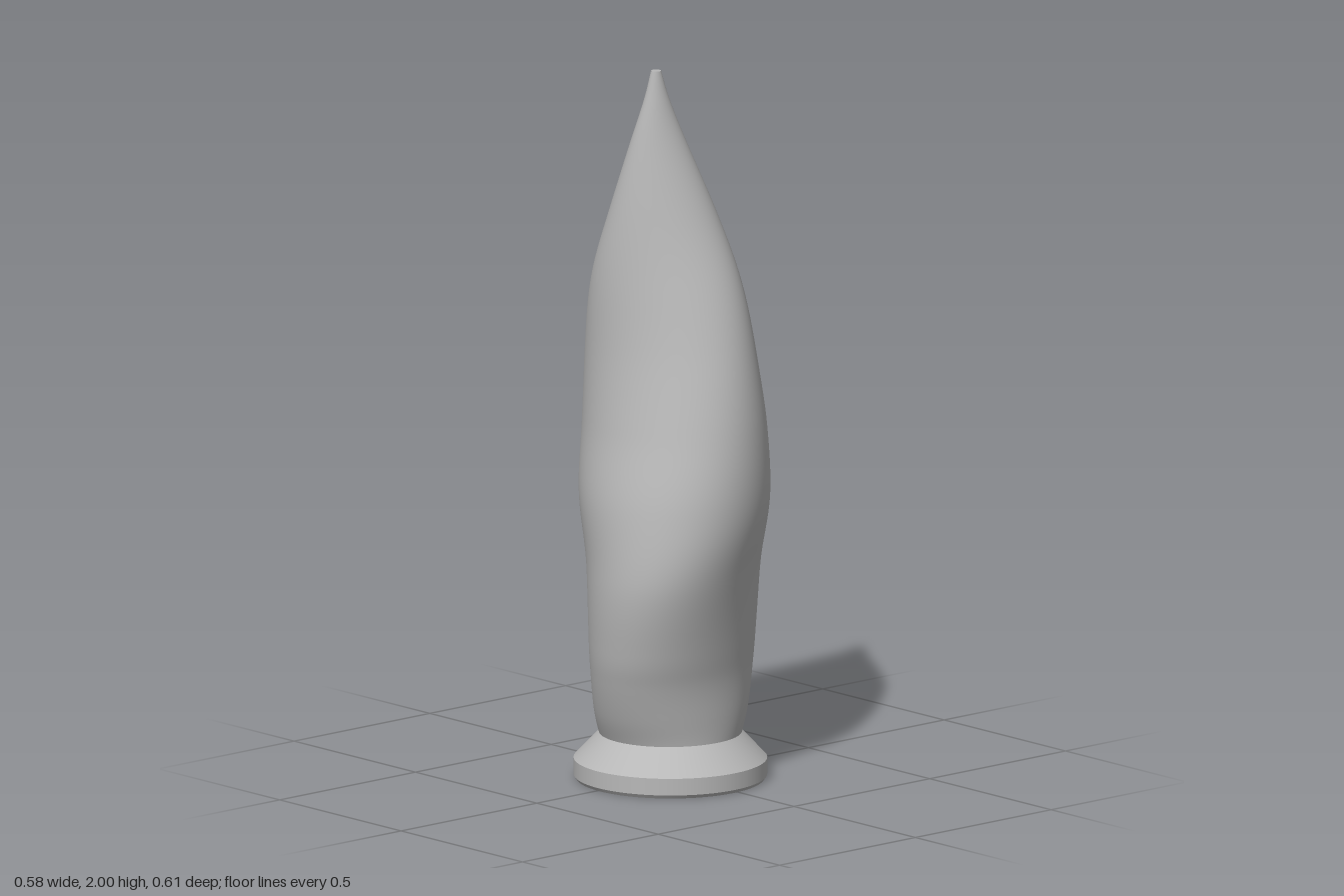
import * as THREE from 'three';

const BASE_X = -0.017, BASE_Z = 0.01;

// Skin joining closed rings of points, facing outward when rings run upward
function loft(rings) {
  const n = rings[0].length, pos = [], idx = [];
  rings.forEach(r => r.forEach(p => pos.push(p.x, p.y, p.z)));
  for (let j = 0; j < rings.length - 1; j++) {
    for (let i = 0; i < n; i++) {
      const a = j * n + i, b = j * n + (i + 1) % n;
      idx.push(a, a + n, b, b, a + n, b + n);
    }
  }
  const g = new THREE.BufferGeometry();
  g.setAttribute('position', new THREE.Float32BufferAttribute(pos, 3));
  g.setIndex(idx);
  g.computeVertexNormals();
  return g;
}

export function createModel() {
  const group = new THREE.Group();
  const grey = new THREE.MeshStandardMaterial({ color: 0xb8b8b8 });
  grey.name = 'plainGrey';
  const add = (name, geometry, parent = group) => {
    const m = new THREE.Mesh(geometry, grey);
    m.name = name;
    parent.add(m);
    return m;
  };

  // Twisted flame body: height, long radius, short radius, turn in degrees, centre x, centre z
  const keys = [
    [0.13, 0.197, 0.196, 0, -0.017, 0.01],
    [0.2, 0.226, 0.201, -8, -0.015, 0.01],
    [0.3, 0.258, 0.206, -16, -0.013, 0.01],
    [0.4, 0.286, 0.217, -25, -0.01, 0.009],
    [0.6, 0.324, 0.237, -40, -0.003, 0.007],
    [0.8, 0.321, 0.261, -58, 0.005, 0.002],
    [1.0, 0.295, 0.238, -79, 0.01, -0.003],
    [1.2, 0.26, 0.198, -98, 0, -0.007],
    [1.4, 0.214, 0.156, -117, -0.017, -0.006],
    [1.6, 0.147, 0.108, -136, -0.035, -0.002],
    [1.8, 0.077, 0.056, -152, -0.055, 0.002],
    [1.92, 0.036, 0.028, -163, -0.064, 0.006],
    [2.0, 0.0145, 0.0125, -170, -0.068, 0.008],
  ];
  const curve = cols => new THREE.CatmullRomCurve3(
    keys.map(k => new THREE.Vector3(...cols.map(c => k[c]))), false, 'catmullrom', 0.5);
  const sizes = curve([0, 1, 2]), places = curve([3, 4, 5]);
  const STEPS = 120, SIDES = 96, rings = [];
  for (let j = 0; j <= STEPS; j++) {
    const { x: y, y: a, z: b } = sizes.getPoint(j / STEPS);
    const { x: deg, y: cx, z: cz } = places.getPoint(j / STEPS);
    const turn = THREE.MathUtils.degToRad(deg), ring = [];
    for (let i = 0; i < SIDES; i++) {
      // Subtracting the turn keeps the mesh columns from shearing
      const t = i / SIDES * Math.PI * 2 - turn;
      const u = a * Math.cos(t), v = b * Math.sin(t);
      ring.push(new THREE.Vector3(
        cx + u * Math.cos(turn) - v * Math.sin(turn), y,
        cz + u * Math.sin(turn) + v * Math.cos(turn)));
    }
    rings.push(ring);
  }
  add('flameBody', loft(rings));

  // Small flat tip
  const tip = add('tipCap', new THREE.CircleGeometry(0.0135, 32).rotateX(-Math.PI / 2));
  tip.position.set(-0.068, 2, 0.008);

  // Round foot: bottom bevel, upright band, sloping shoulder
  const foot = new THREE.Group();
  foot.name = 'foot';
  foot.position.set(BASE_X, 0, BASE_Z);
  group.add(foot);
  const strip = (name, r0, y0, r1, y1) => add(name,
    new THREE.CylinderGeometry(r1, r0, y1 - y0, 96, 1, true).translate(0, (y0 + y1) / 2, 0), foot);
  strip('footBevel', 0.259, 0, 0.266, 0.01);
  strip('footBand', 0.266, 0.01, 0.266, 0.057);
  strip('footShoulder', 0.266, 0.057, 0.196, 0.131);

  // D-shaped socket in the underside, flat toward +x
  const R = 0.138, HALF = Math.PI / 4, DEPTH = 0.45, outline = [];
  for (let i = 0; i <= 60; i++) {
    const t = HALF + (Math.PI * 2 - HALF * 2) * i / 60;
    outline.push(new THREE.Vector2(R * Math.cos(t), R * Math.sin(t)));
  }
  const underside = new THREE.Shape().absarc(0, 0, 0.259, 0, Math.PI * 2);
  underside.holes.push(new THREE.Path(outline));
  add('footUnderside', new THREE.ShapeGeometry(underside, 48).rotateX(Math.PI / 2), foot);

  const level = y => outline.map(p => new THREE.Vector3(p.x, y, p.y));
  const wall = loft([level(DEPTH), level(0)]).toNonIndexed();
  wall.computeVertexNormals();
  add('socketWall', wall, foot);
  add('socketEnd', new THREE.ShapeGeometry(new THREE.Shape(outline))
    .rotateX(Math.PI / 2).translate(0, DEPTH, 0), foot);

  return group;
}
